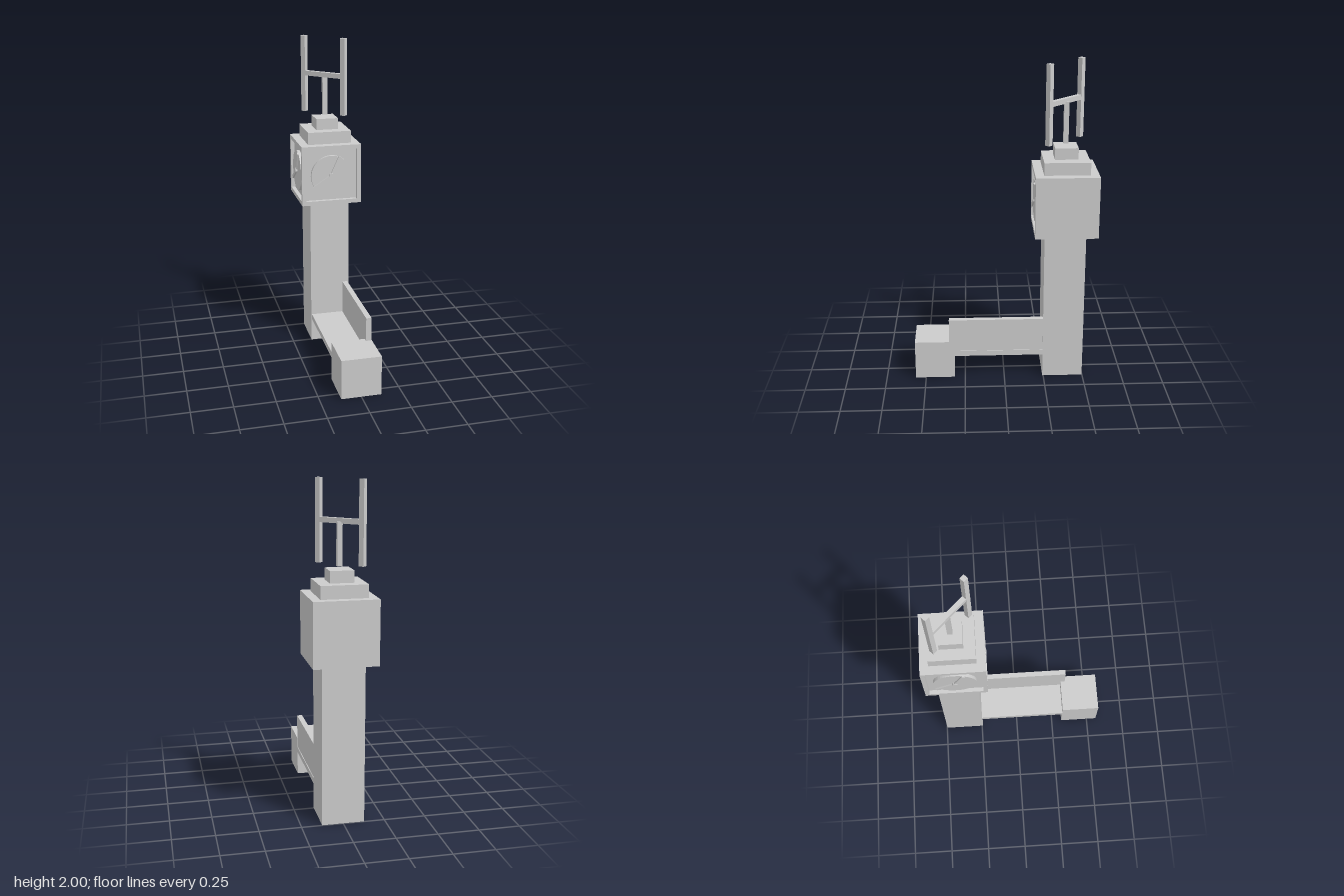
import * as THREE from 'three';

const grey = new THREE.MeshStandardMaterial({ color: 0xcccccc, flatShading: true });

function add(parent, name, geometry, x = 0, y = 0, z = 0) {
  const mesh = new THREE.Mesh(geometry, grey);
  mesh.name = name;
  mesh.position.set(x, y, z);
  parent.add(mesh);
  return mesh;
}

// Box given by its minimum and maximum along each axis
function box(parent, name, [x0, x1], [y0, y1], [z0, z1]) {
  return add(parent, name, new THREE.BoxGeometry(x1 - x0, y1 - y0, z1 - z0),
    (x0 + x1) / 2, (y0 + y1) / 2, (z0 + z1) / 2);
}

const HALF = 0.191, RECESS = 0.025, INNER = 0.165;

// Clock side of the head, facing +z: raised frame, dial, two hands and a hub
function clockFace() {
  const face = new THREE.Group();
  const square = (Base, s) => new Base([[-s, -s], [s, -s], [s, s], [-s, s]].map(p => new THREE.Vector2(...p)));
  const outline = square(THREE.Shape, HALF);
  outline.holes.push(square(THREE.Path, INNER));
  add(face, 'clockFrame', new THREE.ExtrudeGeometry(outline, { depth: RECESS, bevelEnabled: false }),
    0, 0, HALF - RECESS);

  const disc = (name, r, z0, z1, sides) => {
    const g = new THREE.CylinderGeometry(r, r, z1 - z0, sides).rotateX(Math.PI / 2);
    add(face, name, g, 0, -0.005, (z0 + z1) / 2);
  };
  disc('dial', 0.13, HALF - RECESS, 0.185, 48);
  disc('hub', 0.017, 0.185, 0.197, 16);

  for (const [name, x, y] of [['minuteHand', -0.115, -0.075], ['hourHand', 0.055, 0.123]]) {
    const length = Math.hypot(x, y);
    const hand = add(face, name, new THREE.BoxGeometry(length, 0.02, 0.009).translate(length / 2, 0, 0),
      0, -0.005, 0.1895);
    hand.rotation.z = Math.atan2(y, x);
  }
  return face;
}

export function createModel() {
  const model = new THREE.Group();
  const cz = -0.373;

  // Tower shaft
  box(model, 'shaft', [-0.127, 0.127], [0, 0.965], [-0.498, -0.244]);

  // Clock head: solid core with a framed clock on the front and on the -x side
  const head = new THREE.Group();
  head.name = 'clockHead';
  head.position.set(0, 1.157, cz);
  model.add(head);
  box(head, 'headCore', [-HALF + RECESS, HALF], [-HALF, HALF], [-HALF, HALF - RECESS]);
  for (const [name, angle] of [['frontClock', 0], ['sideClock', -Math.PI / 2]]) {
    const clock = clockFace();
    clock.name = name;
    clock.rotation.y = angle;
    head.add(clock);
  }

  // Stepped roof
  for (const [name, h, y0, y1] of [['lowerRoofStep', 0.138, 1.348, 1.425], ['upperRoofStep', 0.07, 1.425, 1.495]]) {
    box(model, name, [-h, h], [y0, y1], [cz - h, cz + h]);
  }

  // Finial: centre pole and a diagonal H of crossbar and posts
  box(model, 'pole', [-0.015, 0.015], [1.51, 1.76], [-0.387, -0.357]);
  const finial = new THREE.Group();
  finial.name = 'finial';
  finial.position.set(-0.007, 0, -0.365);
  finial.rotation.y = -Math.PI / 4;
  model.add(finial);
  box(finial, 'crossbar', [-0.145, 0.145], [1.75, 1.78], [-0.014, 0.014]);
  for (const s of [-1, 1]) {
    add(finial, 'post', new THREE.BoxGeometry(0.031, 0.48, 0.031), s * 0.145, 1.76, 0);
  }

  // Bridge with a parapet on one side, ending at a block
  box(model, 'deck', [-0.123, 0.123], [0.15, 0.185], [-0.25, 0.33]);
  box(model, 'parapet', [0.086, 0.119], [0.152, 0.4], [-0.25, 0.348]);
  box(model, 'endBlock', [-0.123, 0.123], [0, 0.25], [0.318, 0.565]);

  return model;
}
